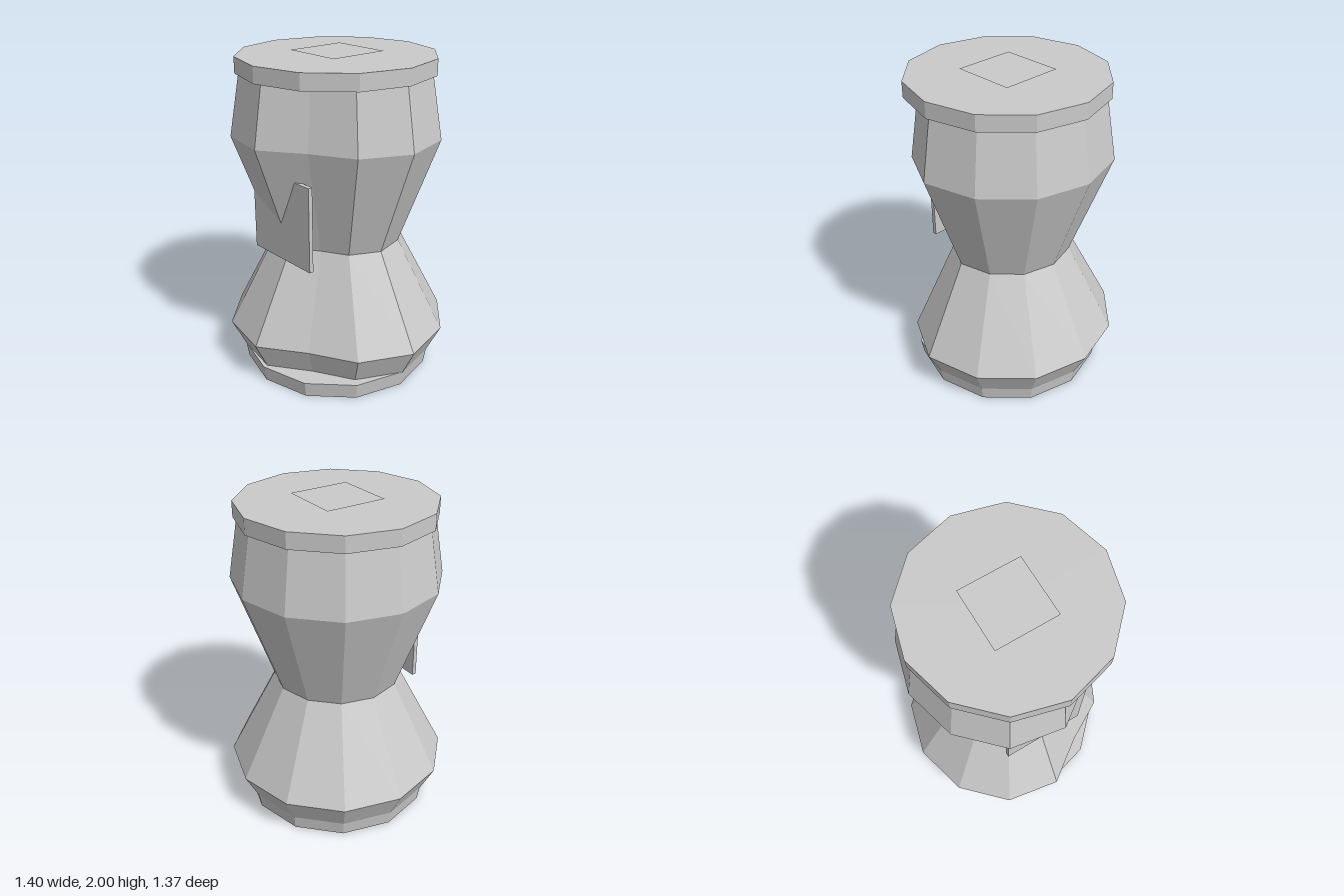
import * as THREE from 'three';

const SIDES = 12;
const CENTER_Z = 0.015;

export function createModel() {
  const model = new THREE.Group();
  model.name = 'dentedHourglassStool';
  const grey = new THREE.MeshStandardMaterial({ color: 0xcacaca, flatShading: true });
  grey.name = 'plainGrey';

  const add = (name, geometry, x, y, z) => {
    const mesh = new THREE.Mesh(geometry, grey);
    mesh.name = name;
    mesh.position.set(x, y, z);
    model.add(mesh);
    return mesh;
  };

  // Faceted hourglass body
  const profile = [
    [0.608, 0.085], [0.7, 0.27], [0.4, 0.85], [0.64, 1.52], [0.575, 1.9],
  ].map(([r, y]) => new THREE.Vector2(r, y));
  const body = new THREE.LatheGeometry(profile, SIDES);

  // Dent between the front and the left: pull three columns of corners inward
  const dent = { 0: 0.952, 1: 0.775, 2: 0.9 };
  const pos = body.attributes.position;
  for (let i = 0; i < pos.count; i++) {
    const column = Math.floor(i / profile.length) % SIDES;
    const k = dent[column] ?? 1;
    pos.setX(i, pos.getX(i) * k);
    pos.setZ(i, pos.getZ(i) * k);
  }
  body.computeVertexNormals();
  add('body', body, 0, 0, CENTER_Z);

  // Base and lid discs
  add('base', new THREE.CylinderGeometry(0.613, 0.597, 0.1, SIDES), 0, 0.05, CENTER_Z);
  add('lid', new THREE.CylinderGeometry(0.598, 0.598, 0.097, SIDES), 0, 1.9385, CENTER_Z);

  // Thin square label floating just above the lid
  const label = add('topLabel', new THREE.PlaneGeometry(0.385, 0.385), 0, 2, CENTER_Z);
  label.rotation.x = -Math.PI / 2;

  // Square front plate, partly sunk into the body
  add('frontPlate', new THREE.BoxGeometry(0.525, 0.525, 0.027), 0, 1.0625, 0.444);

  return model;
}
